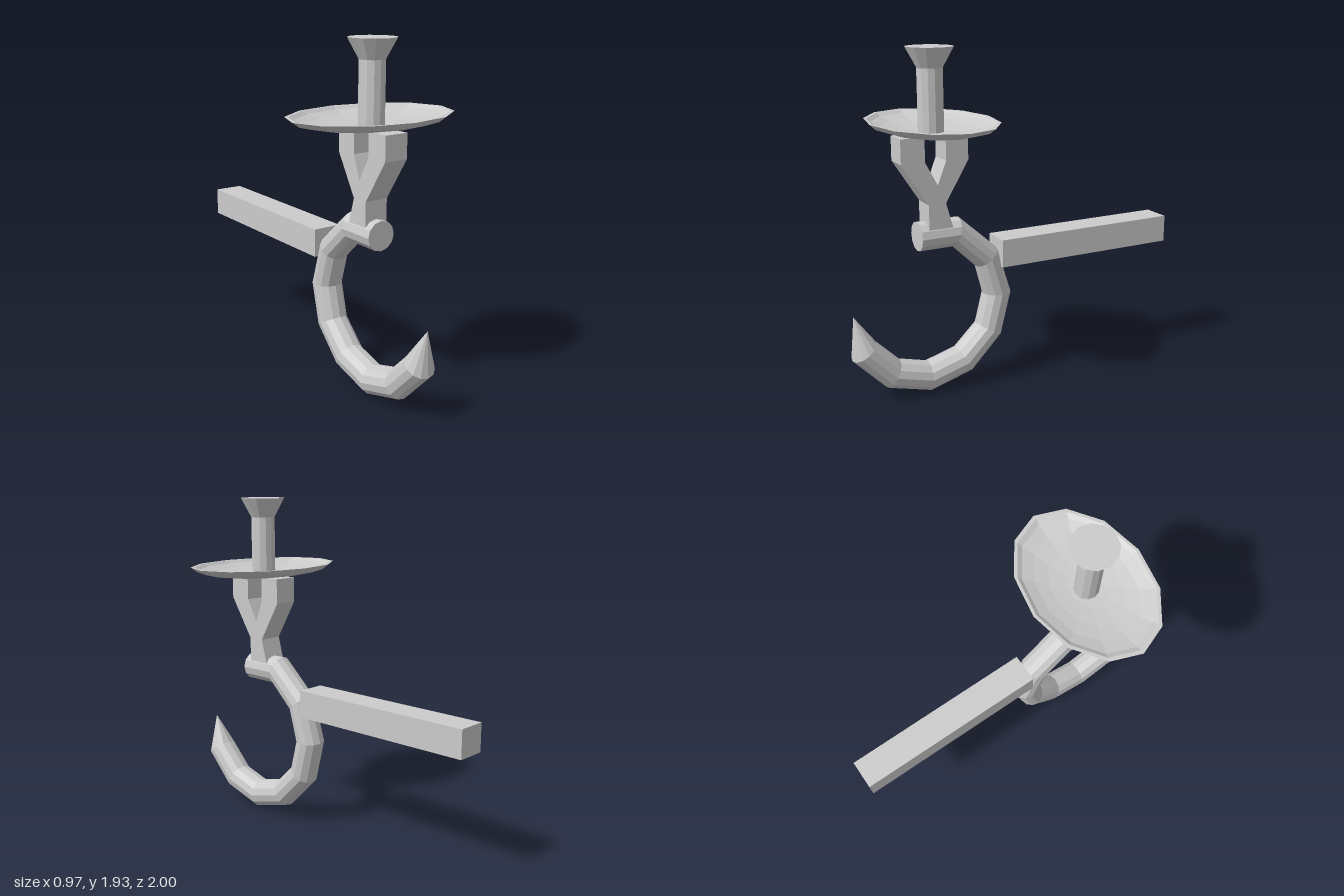
import * as THREE from 'three';

const SIDES = 12;
const grey = new THREE.MeshStandardMaterial({ color: 0xcccccc, flatShading: true });

function addPart(group, name, geometry, x = 0, y = 0, z = 0) {
  const mesh = new THREE.Mesh(geometry, grey);
  mesh.name = name;
  mesh.position.set(x, y, z);
  group.add(mesh);
  return mesh;
}

const lathe = (profile) =>
  new THREE.LatheGeometry(profile.map(([r, y]) => new THREE.Vector2(r, y)), SIDES);

// Mitred round bar: every section is [outer z, outer y, inner z, inner y];
// the first and last sections collapse to a point and close the ends.
function hookGeometry(sections, halfWidth) {
  const positions = [];
  const index = [];
  const last = sections.length - 1;
  sections.forEach(([oz, oy, iz, iy], i) => {
    const w = i === 0 || i === last ? 0 : halfWidth;
    for (let j = 0; j < SIDES; j++) {
      const a = (j / SIDES) * Math.PI * 2;
      const k = Math.cos(a) / 2;
      positions.push(Math.sin(a) * w, (oy + iy) / 2 + (oy - iy) * k, (oz + iz) / 2 + (oz - iz) * k);
      if (i === last) continue;
      const p = i * SIDES + j;
      const q = i * SIDES + ((j + 1) % SIDES);
      if (i > 0) index.push(p, q, p + SIDES);
      if (i < last - 1) index.push(q, q + SIDES, p + SIDES);
    }
  });
  const geometry = new THREE.BufferGeometry();
  geometry.setAttribute('position', new THREE.Float32BufferAttribute(positions, 3));
  geometry.setIndex(index);
  geometry.computeVertexNormals();
  return geometry;
}

export function createModel() {
  const model = new THREE.Group();
  model.name = 'hookedCandleHolder';

  // Curved hook with a pointed end
  addPart(model, 'hook', hookGeometry([
    [0.605, 0.913, 0.605, 0.913],
    [0.605, 0.995, 0.605, 0.83],
    [0.36, 0.995, 0.40, 0.83],
    [0.13, 0.79, 0.255, 0.69],
    [0.045, 0.52, 0.21, 0.52],
    [0.11, 0.265, 0.255, 0.345],
    [0.30, 0.072, 0.385, 0.22],
    [0.56, 0, 0.56, 0.172],
    [0.815, 0.072, 0.73, 0.22],
    [1.0, 0.265, 0.865, 0.355],
    [0.983, 0.515, 0.983, 0.515],
  ], 0.085));

  // Square bar running to the back
  addPart(model, 'wallBar', new THREE.BoxGeometry(0.17, 0.16, 1.125), 0, 0.765, -0.4375);

  // Forked support, drawn in z and y, then turned to face sideways
  const fork = new THREE.Shape([
    [0.42, 0.955], [0.46, 1.097], [0.325, 1.325], [0.325, 1.47], [0.455, 1.47], [0.455, 1.33],
    [0.505, 1.2], [0.575, 1.33], [0.575, 1.465], [0.71, 1.465], [0.71, 1.33], [0.56, 1.097], [0.56, 0.955],
  ].map(([z, y]) => new THREE.Vector2(z, y)));
  const forkGeometry = new THREE.ExtrudeGeometry(fork, { depth: 0.14, bevelEnabled: false });
  forkGeometry.translate(0, 0, -0.07).rotateY(-Math.PI / 2);
  addPart(model, 'forkSupport', forkGeometry);

  // Shallow oval drip dish with a thin rim
  const dish = addPart(model, 'dripDish', lathe([
    [0, 1.467], [0.14, 1.47], [0.26, 1.48], [0.36, 1.492], [0.44, 1.512], [0.483, 1.54],
    [0.46, 1.54], [0.43, 1.523], [0.35, 1.504], [0.25, 1.49], [0.13, 1.481], [0, 1.478],
  ]), 0, 0, 0.505);
  dish.scale.z = 0.705;

  // Candle stem with a flared top
  addPart(model, 'candleStem', lathe([
    [0, 1.472], [0.07, 1.472], [0.07, 1.817], [0.13, 1.927], [0, 1.927],
  ]), 0, 0, 0.508);

  return model;
}
